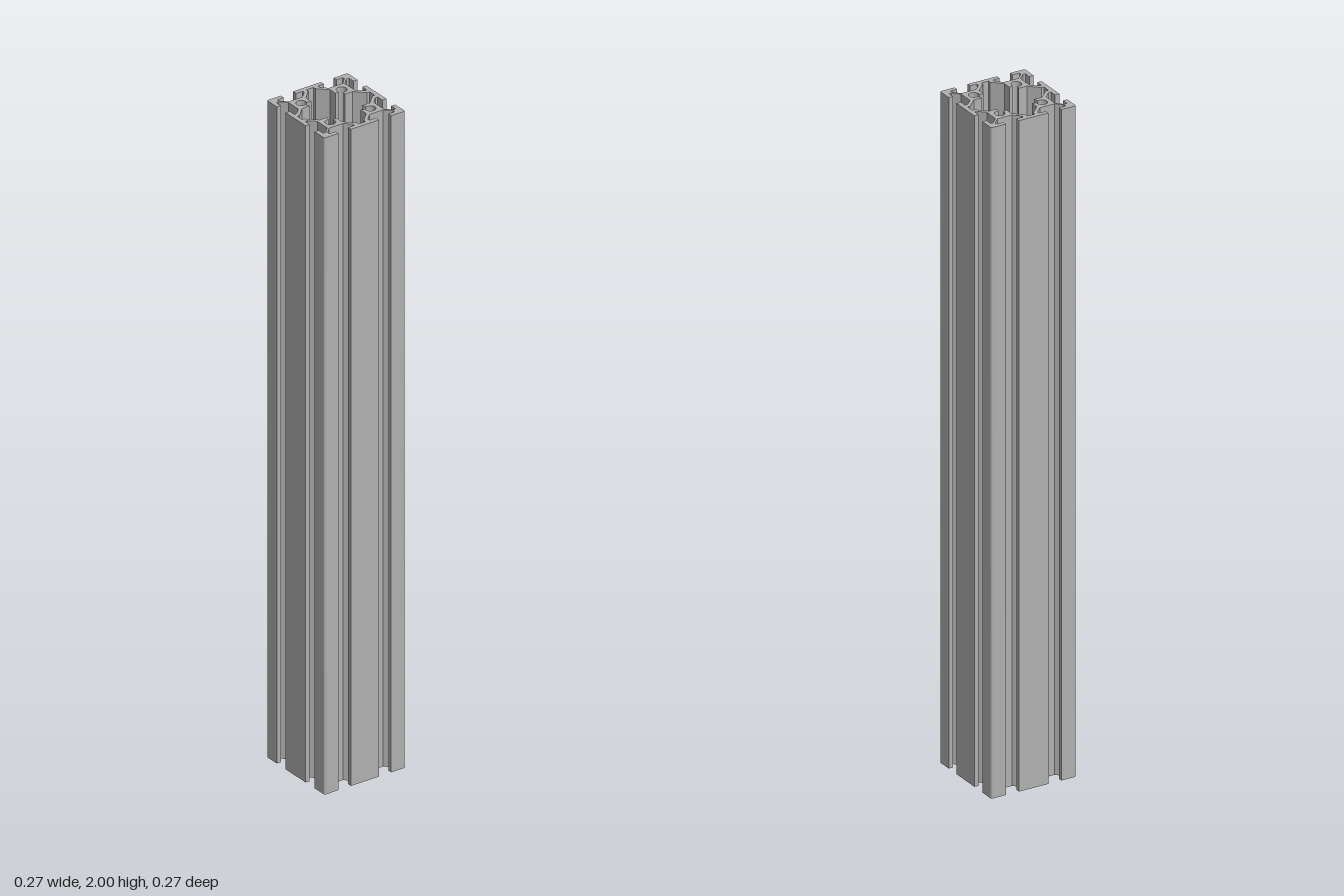
import * as THREE from 'three';
import { toCreasedNormals } from 'three/addons/utils/BufferGeometryUtils.js';

// Cross-section is drawn in millimetres: 80 x 80 profile, 600 long
const MM = 1 / 300;
const HALF = 40;
const LENGTH = 600;

// Points on an arc, angles in degrees
function arc(cx, cy, r, from, to, steps) {
  return Array.from({ length: steps + 1 }, (_, i) => {
    const a = THREE.MathUtils.degToRad(from + (to - from) * i / steps);
    return [cx + r * Math.cos(a), cy + r * Math.sin(a)];
  });
}

// Repeat one quarter of an outline four times around the centre;
// quarter points are measured from the lower left corner
function fourfold(quarter) {
  const points = [];
  for (let k = 0; k < 4; k++) {
    for (const [a, b] of quarter) {
      let x = a - HALF, y = b - HALF;
      for (let i = 0; i < k; i++) [x, y] = [-y, x];
      points.push(new THREE.Vector2(x * MM, y * MM));
    }
  }
  return points;
}

// T-slot outline: offset from the slot centre, depth
const halfSlot = [[6.15, 0], [6.15, 4], [12.5, 4], [12.5, 6.3], [6.8, 12]];
function slot(centre) {
  const left = halfSlot.map(([u, d]) => [centre - u, d]);
  const right = halfSlot.map(([u, d]) => [centre + u, d]).reverse();
  return [...left, ...right];
}

export function createModel() {
  const group = new THREE.Group();
  group.name = 'slottedProfile';
  const aluminium = new THREE.MeshStandardMaterial({ color: 0xb0b0b0 });
  aluminium.name = 'aluminium grey';

  // Outside: rounded corner, then two T-slots on each side
  const outside = fourfold([
    ...arc(1.5, 1.5, 1.5, 180, 270, 4),
    ...slot(20),
    ...slot(60),
  ]);

  // Inside: diagonal webs and a screw channel open towards the centre
  const inside = fourfold([
    [4, 36.5], [6.5, 36.5], [15, 28], [22.6, 28],
    ...arc(20, 20, 4.45, 71.6, 378.4, 20),
    [28, 22.6], [28, 15], [36.5, 6.5], [36.5, 4],
  ]);

  const section = new THREE.Shape(outside);
  section.holes.push(new THREE.Path(inside));

  const bar = new THREE.ExtrudeGeometry(section, {
    depth: LENGTH * MM, bevelEnabled: false, steps: 1,
  });
  bar.rotateX(-Math.PI / 2);

  const mesh = new THREE.Mesh(toCreasedNormals(bar, 0.5), aluminium);
  mesh.name = 'extrudedBar';
  group.add(mesh);
  return group;
}
